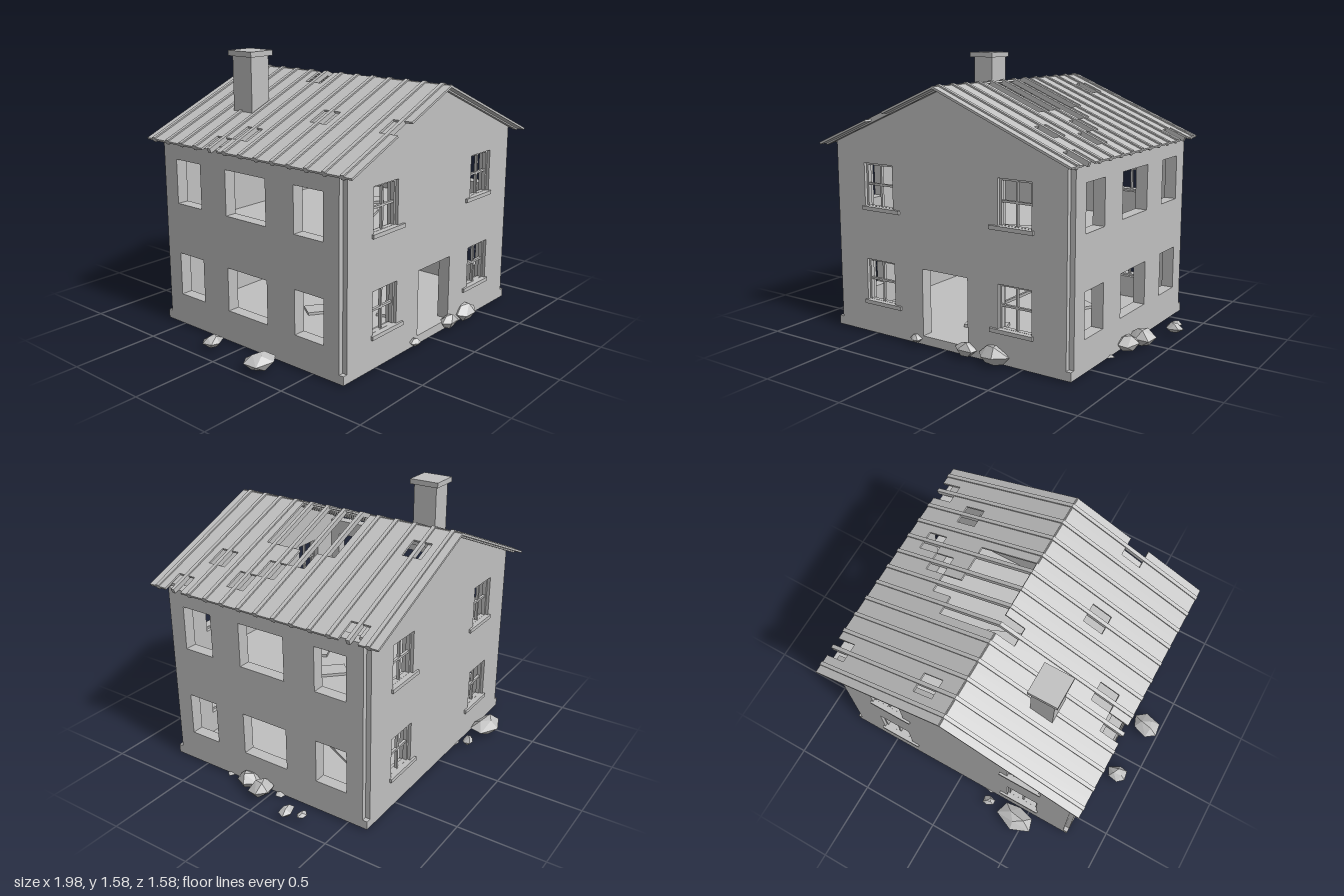
import * as THREE from 'three';
import { ConvexGeometry } from 'three/addons/geometries/ConvexGeometry.js';

export function createModel() {
  const model = new THREE.Group();
  model.name = 'ruinedHouse';
  const grey = new THREE.MeshStandardMaterial({ color: 0xc0c0c0 });
  grey.name = 'plainGrey';

  const house = new THREE.Group();
  house.name = 'house';
  house.position.set(0.01, 0, 0.045);
  model.add(house);

  const add = (parent, name, geometry, x = 0, y = 0, z = 0) => {
    const mesh = new THREE.Mesh(geometry, grey);
    mesh.name = name;
    mesh.position.set(x, y, z);
    parent.add(mesh);
    return mesh;
  };
  // box given by its limits on each axis
  const box = (parent, name, x0, x1, y0, y1, z0, z1) =>
    add(parent, name, new THREE.BoxGeometry(x1 - x0, y1 - y0, z1 - z0),
      (x0 + x1) / 2, (y0 + y1) / 2, (z0 + z1) / 2);
  const polygon = (pts) => new THREE.Shape(pts.map(([x, y]) => new THREE.Vector2(x, y)));
  const rect = (x0, x1, y0, y1) => [[x0, y0], [x1, y0], [x1, y1], [x0, y1]];

  const W = 0.787, D = 0.67, T = 0.07, NOTCH = 0.028, BASE = 0.06;
  const FLOORS = [[0.19, 0.44], [0.735, 0.99]];
  const wall = (outline, openings) => {
    const shape = polygon(outline);
    for (const o of openings) shape.holes.push(polygon(rect(...o)));
    return new THREE.ExtrudeGeometry(shape, { depth: T, bevelEnabled: false });
  };

  // plinth and upper floor
  box(house, 'plinth', -W, W, 0.01, BASE, -D, D);
  box(house, 'upperFloor', -W + T, W - T, 0.54, 0.58, -D + T, D - T);

  // front and back walls with gables
  const endOpenings = FLOORS.flatMap(([a, b]) => [[-0.555, -0.35, a, b], [0.35, 0.555, a, b]]);
  const hw = W - NOTCH;
  const frontOutline = [[-hw, BASE], [-0.15, BASE], [-0.15, 0.44], [0.155, 0.44], [0.155, BASE],
    [hw, BASE], [hw, 1.1], [-hw, 1.1]];
  add(house, 'frontWall', wall(frontOutline, endOpenings), 0, 0, D - T);
  add(house, 'backWall', wall(rect(-hw, hw, BASE, 1.1), endOpenings), 0, 0, -D);
  const gable = wall([[-hw, 1.1], [hw, 1.1], [0, 1.422]], []);
  add(house, 'frontGable', gable, 0, 0, D - T);
  add(house, 'backGable', gable, 0, 0, -D);

  // side walls, with bare openings
  const hd = D - NOTCH;
  const sideOpenings = FLOORS.flatMap(([a, b]) =>
    [[-0.54, -0.345, a, b], [-0.148, 0.148, a, b], [0.345, 0.54, a, b]]);
  const sideWall = wall(rect(-hd, hd, BASE, 1.085), sideOpenings).rotateY(-Math.PI / 2);
  add(house, 'leftWall', sideWall, W);
  add(house, 'rightWall', sideWall, -W + T);

  // window frames, glazing bars and sills on front and back
  for (const face of [1, -1]) {
    for (const s of [1, -1]) {
      for (const [y0, y1] of FLOORS) {
        const win = new THREE.Group();
        win.name = 'window';
        win.position.set(s * 0.4525, 0, face * (D - 0.03));
        house.add(win);
        const h = 0.1025, f = 0.012, d = 0.012, ym = (y0 + y1) / 2 + 0.008;
        for (const e of [-1, 1]) {
          add(win, 'frameStile', new THREE.BoxGeometry(f, y1 - y0, 2 * d), e * (h - f / 2), (y0 + y1) / 2);
        }
        box(win, 'frameRail', -h, h, y1 - f, y1, -d, d);
        box(win, 'frameRail', -h, h, y0, y0 + f, -d, d);
        box(win, 'uprightBar', -0.006, 0.006, y0, y1, -0.008, 0.008);
        box(win, 'crossBar', -h, h, ym - 0.006, ym + 0.006, -0.008, 0.008);
        const sill = new THREE.BoxGeometry(0.266, 0.022, 0.06);
        add(win, 'sill', sill, -s * 0.018, y0, face * 0.013);
      }
    }
  }

  // roof: sheets in columns with missing tiles, and a rafter along each column
  const COLS = 13, ROWS = 7, RZ = 0.745, LEN = 0.894, ANGLE = 0.396;
  const cw = 2 * RZ / COLS, rl = LEN / ROWS;
  const leftHoles = { 1: [6], 2: [4], 4: [0, 1, 2, 5], 5: [0, 1, 2, 4], 6: [0, 1, 2, 3], 7: [0, 1, 2], 11: [1, 6] };
  const rightHoles = { 0: [3], 4: [3], 7: [0, 5], 8: [6] };
  for (const [s, holes] of [[1, leftHoles], [-1, rightHoles]]) {
    const slope = new THREE.Group();
    slope.name = s > 0 ? 'leftRoof' : 'rightRoof';
    slope.position.y = 1.445;
    slope.rotation.z = -s * ANGLE;
    house.add(slope);
    for (let c = 0; c < COLS; c++) {
      const z = RZ - (c + 0.5) * cw;
      const missing = holes[c] || [];
      let start = -1;
      for (let r = 0; r <= ROWS; r++) {
        const present = r < ROWS && !missing.includes(r);
        if (present && start < 0) start = r;
        if (!present && start >= 0) {
          const len = (r - start) * rl;
          add(slope, 'roofSheet', new THREE.BoxGeometry(len, 0.012, cw), s * (start * rl + len / 2), -0.014, z);
          start = -1;
        }
      }
      add(slope, 'rafter', new THREE.BoxGeometry(LEN, 0.028, 0.022), s * LEN / 2, -0.014, z);
    }
  }

  // chimney
  box(model, 'chimneyStack', -0.46, -0.325, 1.18, 1.55, -0.355, -0.21);
  box(model, 'chimneyCap', -0.48, -0.31, 1.55, 1.58, -0.37, -0.19);

  // fallen planks and tiles indoors
  const planks = [[0.05, 0.07, 0.35, 0.3, 0], [-0.2, 0.07, 0.05, -0.6, 0], [0.3, 0.07, -0.2, 1.1, 0],
    [0.12, 0.19, -0.05, 0.5, 0.45], [0.1, 0.59, 0.1, 0.4, 0], [0.35, 0.59, -0.1, -0.8, 0]];
  for (const [x, y, z, turn, tilt] of planks) {
    const plank = add(house, 'fallenPlank', new THREE.BoxGeometry(tilt ? 0.5 : 0.24, 0.016, tilt ? 0.03 : 0.11), x, y, z);
    plank.rotation.set(0, turn, tilt);
  }

  // rubble: convex lumps made from three uneven rings
  let seed = 7;
  const rand = () => (seed = (seed * 16807) % 2147483647) / 2147483647;
  const rock = (name, x, y, z, rx, ry, rz) => {
    const pts = [];
    for (const [level, radius, n] of [[-1, 0.5, 4], [-0.1, 0.95, 6], [0.9, 0.4, 3]]) {
      const turn = rand() * 6;
      for (let i = 0; i < n; i++) {
        const a = turn + (i + rand() * 0.4) / n * Math.PI * 2;
        const k = radius * (0.9 + rand() * 0.2);
        const lift = level < 0 && n === 4 ? 0 : (rand() - 0.5) * 0.3;
        pts.push(new THREE.Vector3(Math.cos(a) * k * rx, (level + lift) * ry, Math.sin(a) * k * rz));
      }
    }
    add(model, name, new ConvexGeometry(pts), x, y, z);
  };
  const rocks = [
    [-0.905, 0.055, 0.255, 0.095, 0.045, 0.085], [-0.885, 0.045, -0.125, 0.07, 0.03, 0.06],
    [-0.45, 0.055, -0.705, 0.13, 0.045, 0.085], [-0.24, 0.04, -0.69, 0.045, 0.025, 0.035],
    [0.92, 0.045, -0.29, 0.036, 0.016, 0.028], [0.94, 0.05, -0.205, 0.055, 0.025, 0.04],
    [0.86, 0.055, 0.035, 0.085, 0.045, 0.07], [0.825, 0.05, 0.15, 0.07, 0.042, 0.075],
    [-0.18, 0.045, 0.73, 0.038, 0.02, 0.03], [0.16, 0.055, 0.725, 0.07, 0.038, 0.05],
    [0.335, 0.06, 0.72, 0.1, 0.05, 0.065],
  ];
  for (const r of rocks) rock('rubble', ...r);
  // low chips at the foot of the plinth
  for (const [x, z] of [[-0.68, 0.62], [-0.45, 0.66], [0.76, 0.3], [0.77, -0.05], [-0.2, -0.6]]) {
    rock('chip', x, 0.012, z, 0.07, 0.012, 0.04);
  }
  return model;
}
